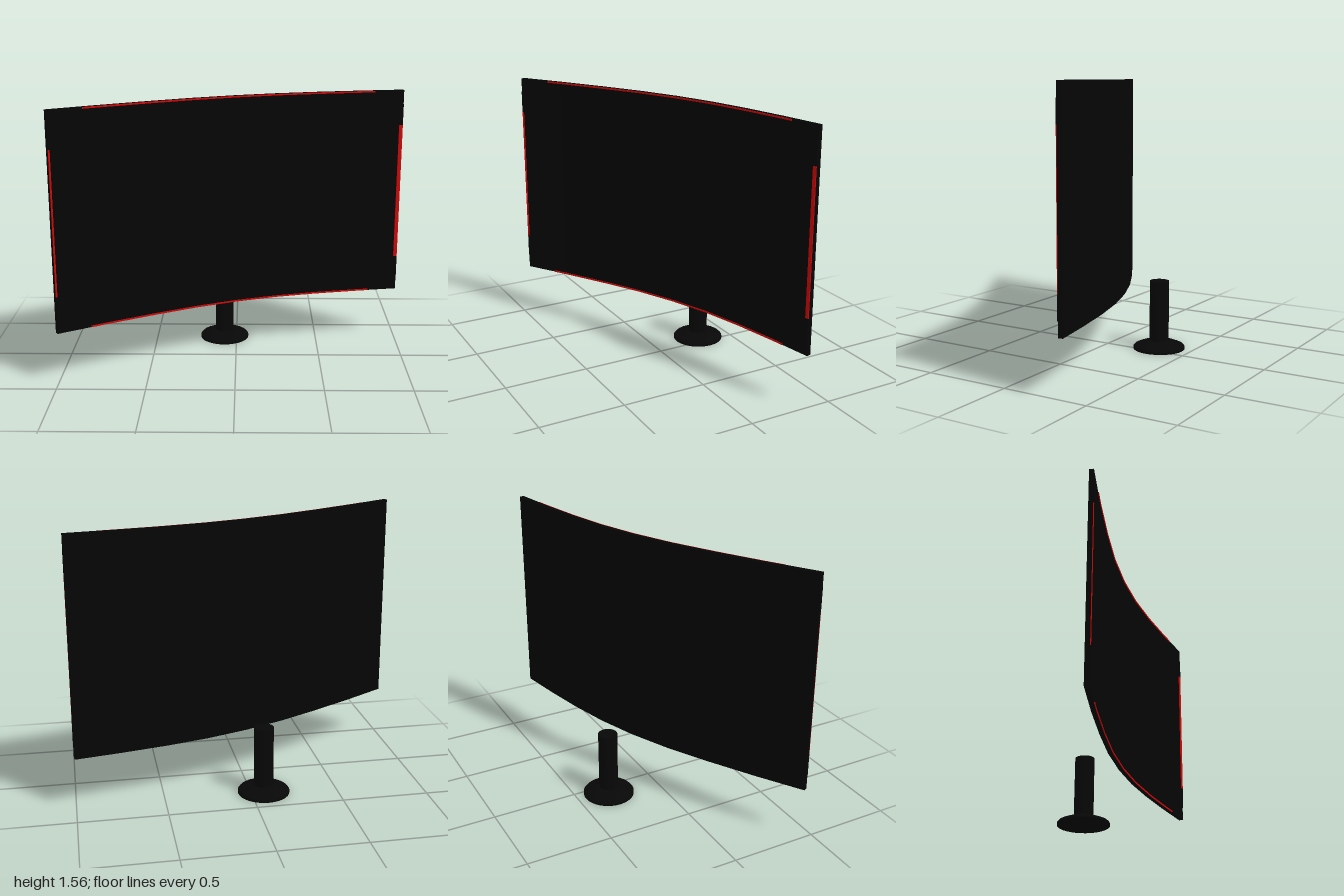
import * as THREE from 'three';

// Corner points of the faceted curve the panel follows, as (x, z)
const arc = [
  [-0.993, 0.441], [-0.74, 0.285], [-0.48, 0.135], [-0.24, 0.007], [0, -0.1],
  [0.235, -0.183], [0.48, -0.248], [0.74, -0.303], [0.9975, -0.35],
].map(([x, z]) => new THREE.Vector2(x, z));
const SEG = arc.length - 1;

// Front-facing normal of one facet
function facetNormal(i) {
  const t = arc[i + 1].clone().sub(arc[i]).normalize();
  return new THREE.Vector2(-t.y, t.x);
}

// Point at arc position s (0..8), pushed d towards the front; z is negated for the shape plane
function arcPoint(s, d) {
  const i = Math.min(Math.floor(s), SEG - 1);
  const n = facetNormal(i);
  if (s === i && i > 0) n.add(facetNormal(i - 1)).normalize();
  const p = arc[i].clone().lerp(arc[i + 1], s - i).addScaledVector(n, d);
  return new THREE.Vector2(p.x, -p.y);
}

// Curved slab spanning s0..s1 along the arc, y0..y1 in height, d0..d1 in depth
function curvedSlab(s0, s1, y0, y1, d0, d1) {
  const stops = [s0];
  for (let i = Math.floor(s0) + 1; i < s1; i++) stops.push(i);
  stops.push(s1);
  const front = stops.map((s) => arcPoint(s, d1));
  const back = stops.map((s) => arcPoint(s, d0)).reverse();
  const g = new THREE.ExtrudeGeometry(new THREE.Shape([...front, ...back]), { depth: y1 - y0, bevelEnabled: false });
  g.rotateX(-Math.PI / 2);
  g.translate(0, y0, 0);
  return g;
}

export function createModel() {
  const black = new THREE.MeshStandardMaterial({ name: 'panel black', color: 0x050505 });
  const standBlack = new THREE.MeshStandardMaterial({ name: 'stand black', color: 0x070707 });
  const red = new THREE.MeshStandardMaterial({ name: 'accent red', color: 0xd00808 });

  const model = new THREE.Group();
  model.name = 'curvedMonitor';
  const add = (name, geometry, material) => {
    const mesh = new THREE.Mesh(geometry, material);
    mesh.name = name;
    model.add(mesh);
    return mesh;
  };

  // Curved screen
  const bottom = 0.312, top = 1.562, front = 0.013;
  add('screenPanel', curvedSlab(0, SEG, bottom, top, -front, front), black);

  // Thin rim on the front: red along the middle of each edge, black beyond it at the sides
  const rim = (name, s0, s1, y0, y1, mat) => add(name, curvedSlab(s0, s1, y0, y1, front, front + 0.004), mat);
  rim('topAccentStrip', 0.68, 7.31, top - 0.009, top, red);
  rim('bottomAccentStrip', 0.68, 7.31, bottom, bottom + 0.009, red);
  for (const [side, s0, s1] of [['right', 0, 0.032], ['left', 7.915, SEG]]) {
    rim(side + 'AccentStrip', s0, s1, 0.527, 1.352, red);
    rim(side + 'LowerRim', s0, s1, 0.395, 0.527, black);
    rim(side + 'UpperRim', s0, s1, 1.352, 1.48, black);
  }

  // Stand: domed round base and a plain post
  const baseProfile = [[0, 0], [0.15, 0], [0.15, 0.012], [0.142, 0.021], [0.11, 0.034], [0.075, 0.046], [0.056, 0.05], [0, 0.05]];
  const base = add('standBase', new THREE.LatheGeometry(baseProfile.map(([r, y]) => new THREE.Vector2(r, y)), 32), standBlack);
  base.position.set(-0.075, 0, -0.306);
  const post = add('standPost', new THREE.CylinderGeometry(0.056, 0.056, 0.37, 32), standBlack);
  post.position.set(-0.075, 0.217, -0.306);

  return model;
}
